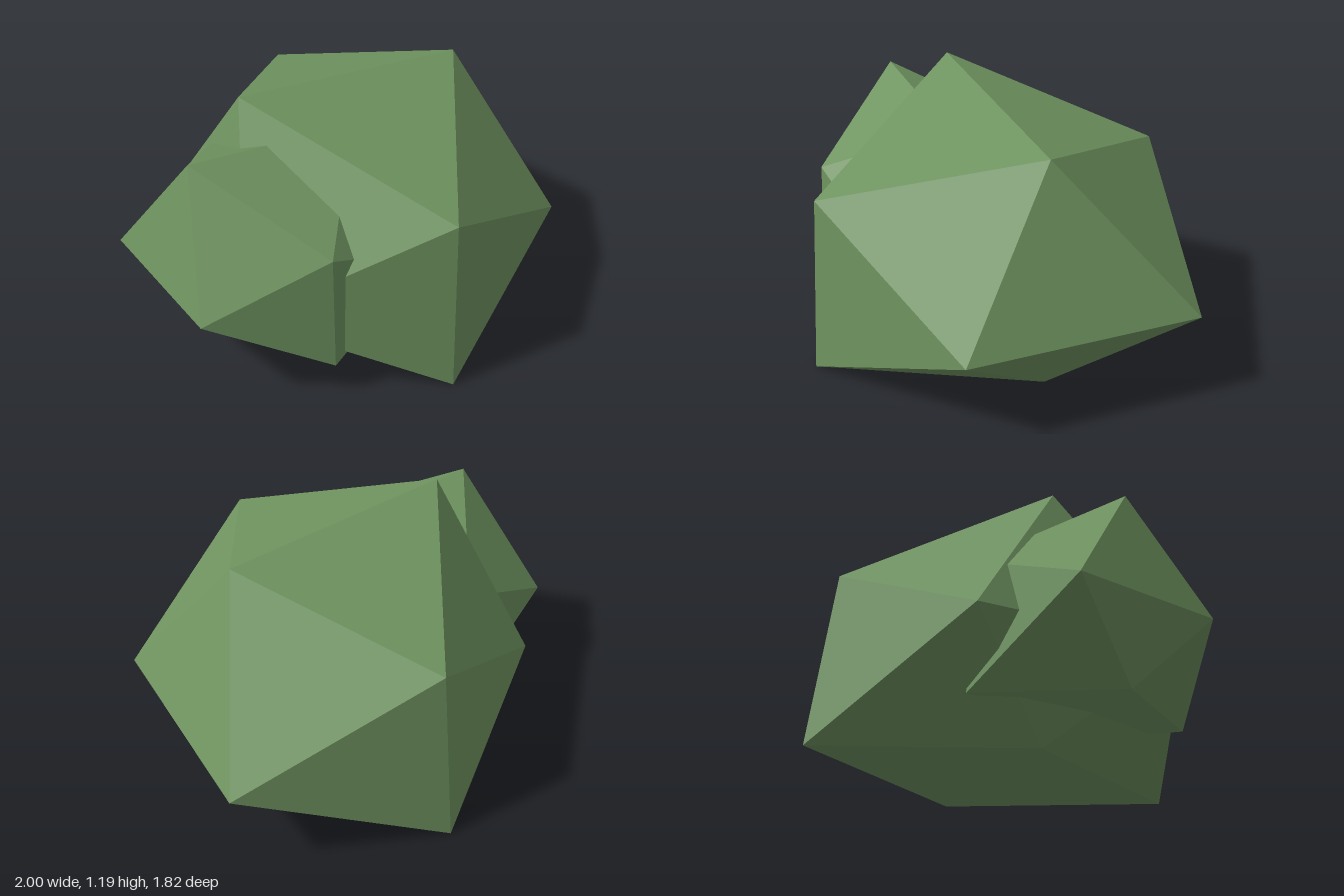
import * as THREE from 'three';

const T = (1 + Math.sqrt(5)) / 2;

// Unit icosahedron corners, in the order used by the size lists below
const CORNERS = [
  [-1, T, 0], [1, T, 0], [-1, -T, 0], [1, -T, 0],
  [0, -1, T], [0, 1, T], [0, -1, -T], [0, 1, -T],
  [T, 0, -1], [T, 0, 1], [-T, 0, -1], [-T, 0, 1],
].map((c) => new THREE.Vector3(...c));

// Irregular faceted clump: each corner is pushed in or out from the centre,
// the whole is squashed in height and its underside cut flat at floorY
function clump(name, material, { center, unit, squash, floorY, push }) {
  const geometry = new THREE.IcosahedronGeometry(1, 0);
  const position = geometry.attributes.position;
  const p = new THREE.Vector3();
  for (let i = 0; i < position.count; i++) {
    p.fromBufferAttribute(position, i);
    let best = 0;
    CORNERS.forEach((c, k) => { if (c.dot(p) > CORNERS[best].dot(p)) best = k; });
    const c = CORNERS[best];
    const s = unit * push[best];
    position.setXYZ(
      i,
      center[0] + c.x * s,
      Math.max(floorY, center[1] + c.y * s * squash),
      center[2] + c.z * s,
    );
  }
  geometry.computeVertexNormals(); // unshared corners keep the facets flat
  const mesh = new THREE.Mesh(geometry, material);
  mesh.name = name;
  return mesh;
}

export function createModel() {
  const leafGreen = new THREE.MeshStandardMaterial({ color: 0x6f9460 });
  leafGreen.name = 'leaf green';

  const bush = new THREE.Group();
  bush.name = 'bush';

  // Large clump resting on the ground
  bush.add(clump('mainClump', leafGreen, {
    center: [0.11, 0.43, 0], unit: 0.535, squash: 0.82, floorY: 0,
    push: [1.07, 0.975, 0.81, 0.99, 1.05, 0.98, 1.05, 0.93, 1.03, 0.935, 0.9, 0.94],
  }));

  // Smaller clump growing out of the right side
  bush.add(clump('sideClump', leafGreen, {
    center: [-0.38, 0.475, 0.18], unit: 0.36, squash: 0.9, floorY: 0.15,
    push: [1.11, 1.03, 1.03, 1, 0.905, 0.86, 0.97, 0.95, 1, 1, 1.065, 0.9],
  }));

  return bush;
}
